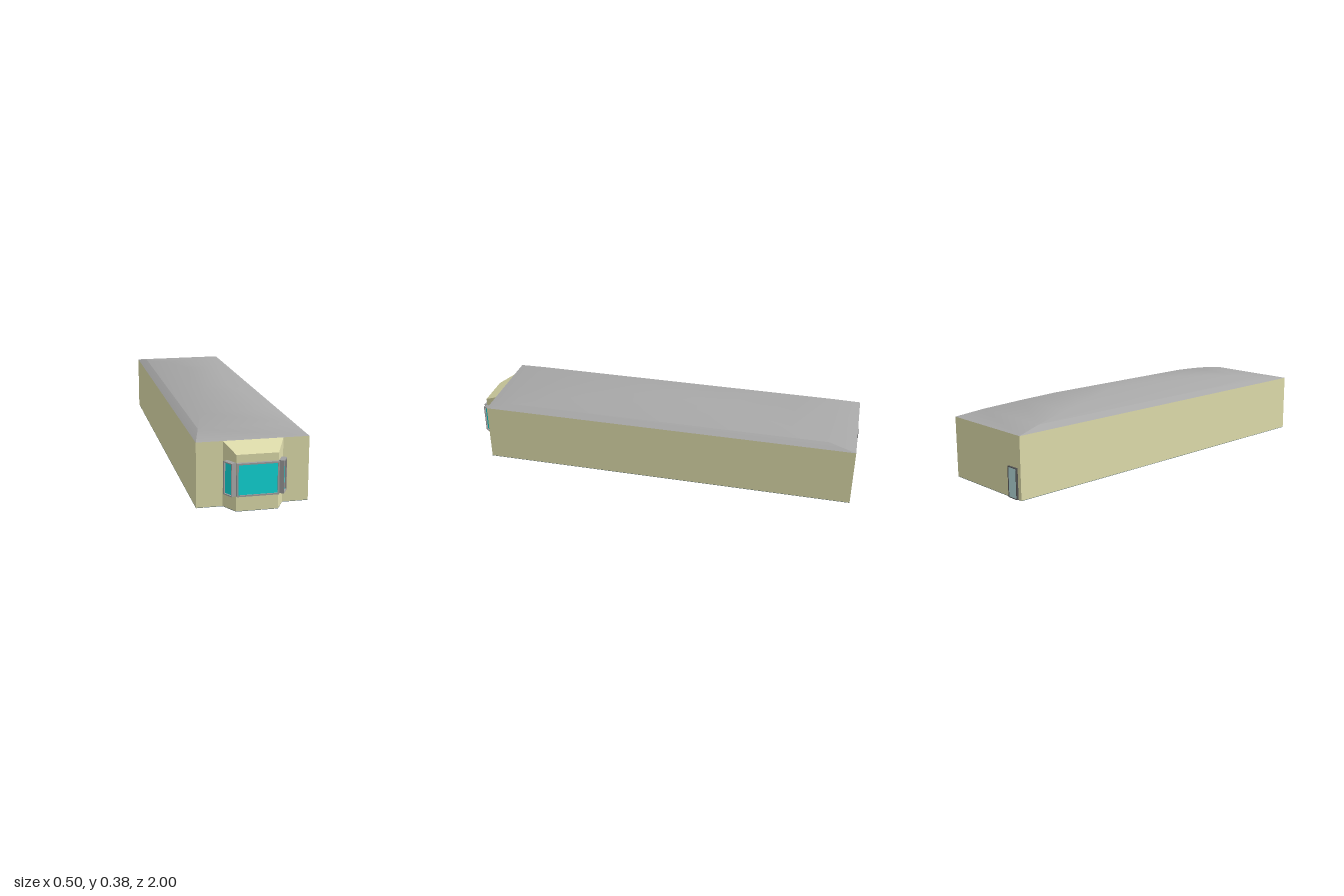
import * as THREE from 'three';
import { toCreasedNormals } from 'three/addons/utils/BufferGeometryUtils.js';
import { ConvexGeometry } from 'three/addons/geometries/ConvexGeometry.js';

const HALF = 0.252, BACK = -0.99, FRONT = 0.91, BAY = 0.985;
const EAVE = 0.295, BAY_TOP = 0.253, FLOOR = 0.002;
const LENGTH = FRONT - BACK, MID = (FRONT + BACK) / 2;

const mat = (color) => new THREE.MeshStandardMaterial({ color });
const wallMat = mat(0xdedcab), roofMat = mat(0xa8a8a8), floorMat = mat(0x667a7a);
const frameMat = mat(0xa0a0a0), glassMat = mat(0x10d8d8);
const doorMat = mat(0xb4dada), doorFrameMat = mat(0x505050);

function add(parent, name, geometry, material, x = 0, y = 0, z = 0) {
  const mesh = new THREE.Mesh(geometry, material);
  mesh.name = name;
  mesh.position.set(x, y, z);
  parent.add(mesh);
  return mesh;
}

// Rectangular border, standing on its lower edge, with a recessed panel
function framedPanel(name, w, h, depth, border, rimMat, panelMat) {
  const group = new THREE.Group();
  group.name = name;
  const rect = (Type, x, y0, y1) => new Type([[-x, y0], [x, y0], [x, y1], [-x, y1]]
    .map(([a, b]) => new THREE.Vector2(a, b)));
  const shape = rect(THREE.Shape, w / 2, 0, h);
  shape.holes.push(rect(THREE.Path, w / 2 - border, border, h - border));
  add(group, 'frame', new THREE.ExtrudeGeometry(shape, { depth, bevelEnabled: false }), rimMat);
  add(group, 'panel', new THREE.BoxGeometry(w - 2 * border, h - 2 * border, depth * 0.7),
    panelMat, 0, h / 2, depth * 0.35);
  return group;
}

export function createModel() {
  const model = new THREE.Group();
  model.name = 'longBuilding';

  // Floor slab following the footprint, bay included
  const footprint = new THREE.Shape([
    [-HALF, BACK], [HALF, BACK], [HALF, FRONT], [0.134, FRONT], [0.093, BAY],
    [-0.093, BAY], [-0.134, FRONT], [-HALF, FRONT],
  ].map(([x, z]) => new THREE.Vector2(x, z)));
  const slab = new THREE.ExtrudeGeometry(footprint, { depth: FLOOR, bevelEnabled: false });
  slab.rotateX(Math.PI / 2);
  add(model, 'floor', slab, floorMat, 0, FLOOR, 0);

  // Main walls
  add(model, 'walls', new THREE.BoxGeometry(2 * HALF, EAVE - FLOOR, LENGTH), wallMat,
    0, (EAVE + FLOOR) / 2, MID);

  // Bay with splayed sides and a sloping top
  const corners = [];
  for (const s of [-1, 1]) {
    for (const y of [FLOOR, EAVE]) corners.push(new THREE.Vector3(s * 0.134, y, FRONT));
    for (const y of [FLOOR, BAY_TOP]) corners.push(new THREE.Vector3(s * 0.093, y, BAY));
  }
  add(model, 'bay', new ConvexGeometry(corners), wallMat);

  // Bowed hip roof: a four-sided lathe stretched to the plan
  const profile = [[1, 0], [0.86, 0.022], [0.66, 0.045], [0.48, 0.063], [0.26, 0.078], [0, 0.09]]
    .map(([r, y]) => new THREE.Vector2(r * Math.SQRT2, y));
  const roof = new THREE.LatheGeometry(profile, 4);
  roof.rotateY(Math.PI / 4);
  roof.scale(HALF, 1, LENGTH / 2);
  add(model, 'roof', toCreasedNormals(roof, THREE.MathUtils.degToRad(30)), roofMat, 0, EAVE, MID);

  // Bay windows: one at the front and one on each splayed side
  const front = framedPanel('frontWindow', 0.186, 0.148, 0.015, 0.007, frameMat, glassMat);
  front.position.set(0, 0.07, BAY);
  model.add(front);
  const angle = Math.atan2(BAY - FRONT, 0.041);
  for (const s of [-1, 1]) {
    const side = framedPanel(s > 0 ? 'leftWindow' : 'rightWindow',
      0.054, 0.148, 0.024, 0.005, frameMat, glassMat);
    side.position.set(s * 0.107, 0.07, 0.96);
    side.rotation.y = s * angle;
    model.add(side);
  }

  // Back door
  const door = framedPanel('backDoor', 0.062, 0.144, 0.01, 0.003, doorFrameMat, doorMat);
  door.position.set(-0.2, 0.002, BACK);
  door.rotation.y = Math.PI;
  model.add(door);

  return model;
}
